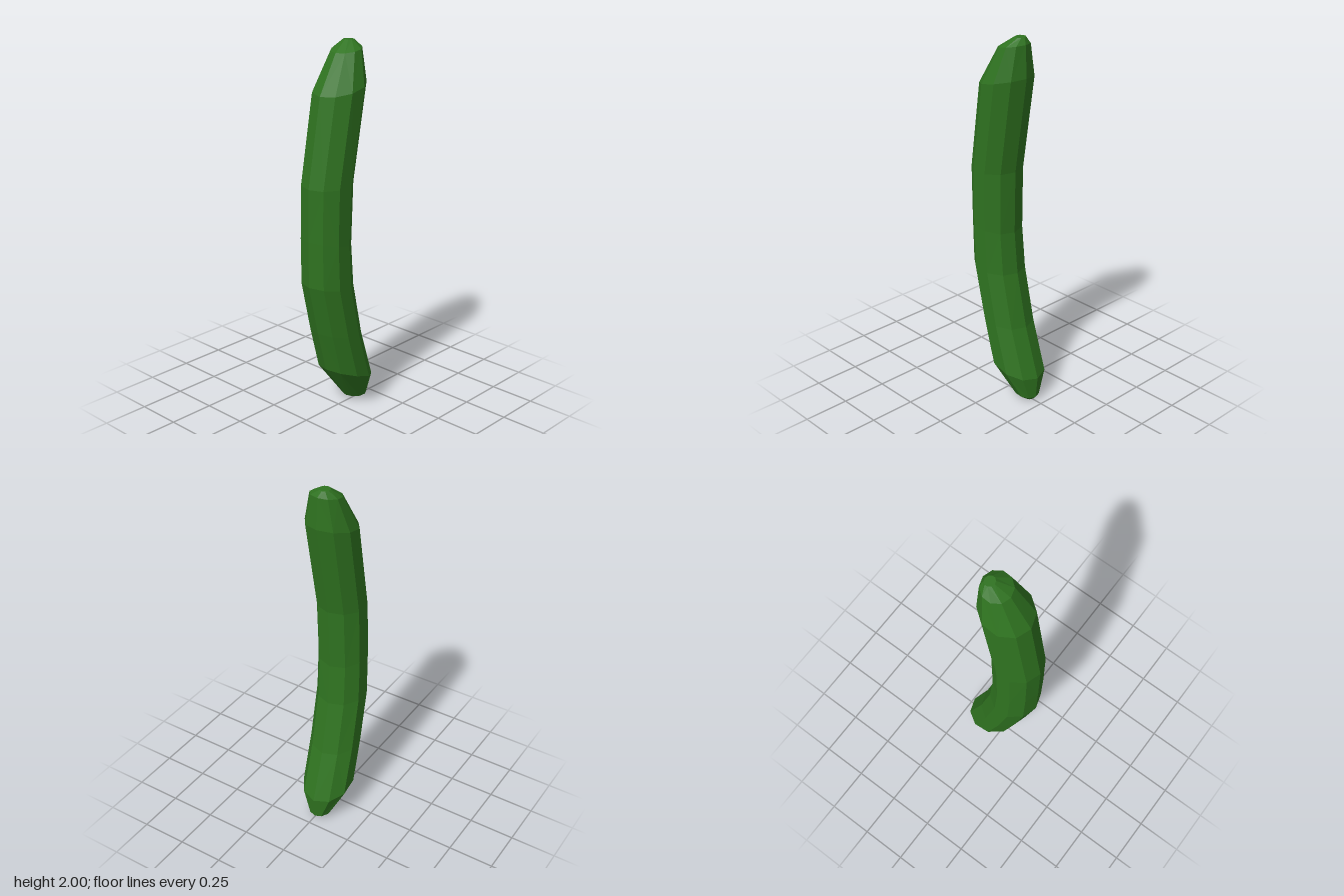
import * as THREE from 'three';

const SIDES = 10;

// Tilted cross-sections, bottom to top: outer edge (x, y), inner edge (x, y), front z, back z
const SECTIONS = [
  [0.12, 0.006, 0.185, 0.0, 0.025, -0.03],
  [0.065, 0.03, 0.205, 0.02, 0.055, -0.065],
  [-0.09, 0.24, 0.215, 0.14, 0.125, -0.14],
  [-0.15, 0.47, 0.125, 0.42, 0.125, -0.138],
  [-0.215, 0.75, 0.06, 0.72, 0.125, -0.135],
  [-0.22, 1.0, 0.04, 0.95, 0.125, -0.13],
  [-0.22, 1.28, 0.05, 1.29, 0.13, -0.125],
  [-0.145, 1.74, 0.135, 1.8, 0.14, -0.118],
  [-0.03, 1.94, 0.125, 1.965, 0.088, -0.07],
  [0.05, 1.997, 0.105, 1.995, 0.025, -0.03],
];

// Faceted skin lofted through the cross-sections, closed with a fan at each tip
function loft(sections) {
  const positions = [];
  const index = [];
  const centre = ([lx, ly, rx, ry, zf, zb]) => [(lx + rx) / 2, (ly + ry) / 2, (zf + zb) / 2];
  const zStretch = 1 / Math.cos(Math.PI / SIDES); // vertices miss the exact z extremes

  for (const s of sections) {
    const [lx, ly, rx, ry, zf, zb] = s;
    const [cx, cy, cz] = centre(s);
    for (let i = 0; i < SIDES; i++) {
      const a = (i / SIDES) * Math.PI * 2;
      const c = Math.cos(a);
      positions.push(cx + c * (rx - lx) / 2, cy + c * (ry - ly) / 2,
        cz + Math.sin(a) * zStretch * (zf - zb) / 2);
    }
  }
  const last = sections.length - 1;
  const bottom = sections.length * SIDES;
  const top = bottom + 1;
  positions.push(...centre(sections[0]), ...centre(sections[last]));

  for (let i = 0; i < SIDES; i++) {
    const n = (i + 1) % SIDES;
    for (let r = 0; r < last; r++) {
      const a = r * SIDES + i, b = r * SIDES + n;
      const c = a + SIDES, d = b + SIDES;
      // Alternate the diagonals for an irregular, hand-cut surface
      if ((r + i) % 2) index.push(a, c, b, b, c, d);
      else index.push(a, c, d, a, d, b);
    }
    index.push(bottom, i, n);
    index.push(top, last * SIDES + n, last * SIDES + i);
  }

  const geometry = new THREE.BufferGeometry();
  geometry.setAttribute('position', new THREE.Float32BufferAttribute(positions, 3));
  geometry.setIndex(index);
  const faceted = geometry.toNonIndexed();
  faceted.computeVertexNormals();
  return faceted;
}

export function createModel() {
  const group = new THREE.Group();
  group.name = 'cucumber';

  const skin = new THREE.MeshStandardMaterial({ color: 0x2f7320, flatShading: true });
  const body = new THREE.Mesh(loft(SECTIONS), skin);
  body.name = 'cucumberBody';
  group.add(body);
  return group;
}
